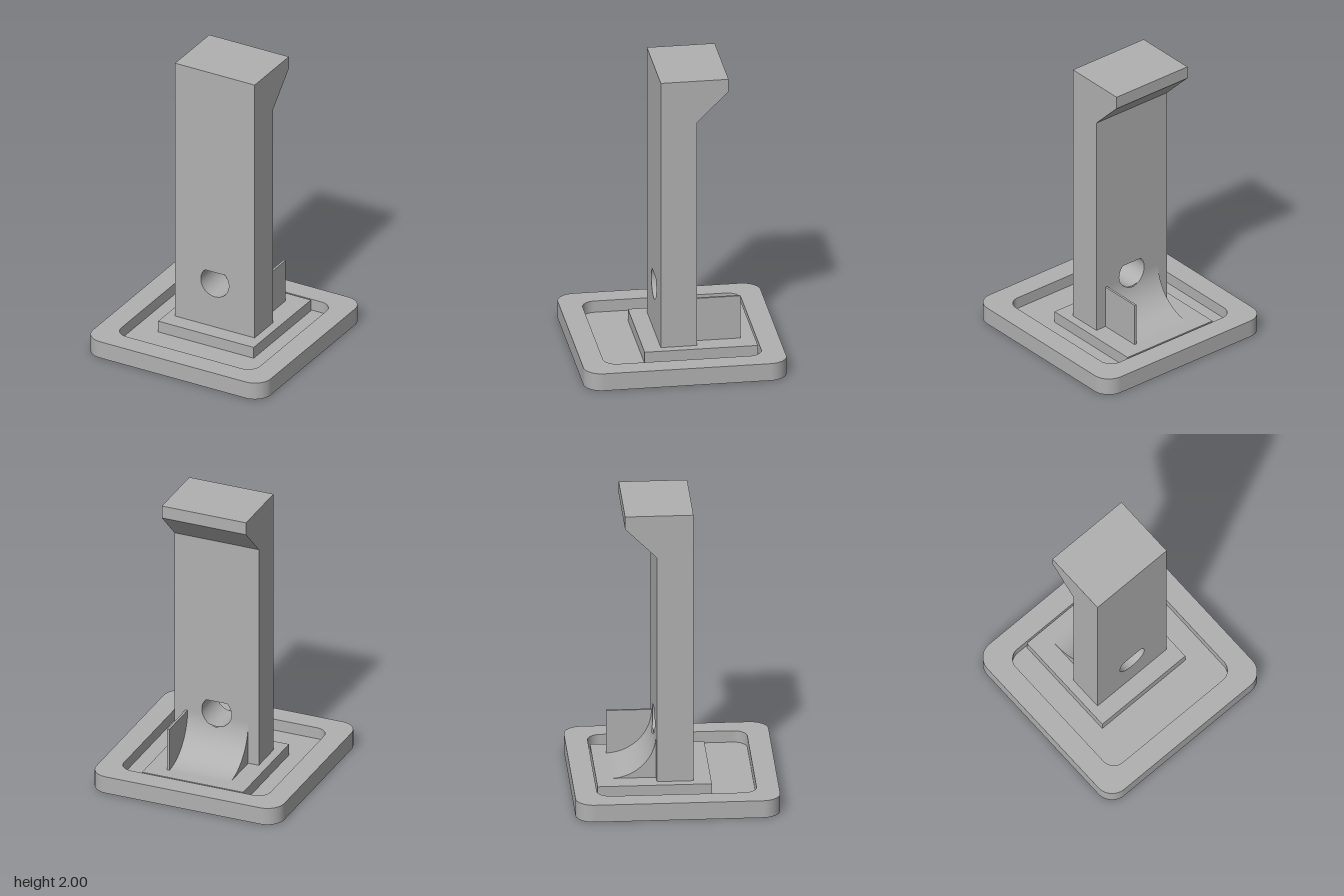
import * as THREE from 'three';
import { toCreasedNormals } from 'three/addons/utils/BufferGeometryUtils.js';

const grey = new THREE.MeshStandardMaterial({ color: 0xb0b0b0, side: THREE.DoubleSide });
grey.name = 'plain grey';

const BASE_TOP = 0.12, POCKET_FLOOR = 0.04;
const COLUMN_BACK = -0.12;
const HOLE = { y: 0.45, r: 0.106 };
const SCOOP = { r: 0.3, y: 0.42, z: -0.42, x0: -0.225, x1: 0.207 };

function part(name, geometry) {
  const mesh = new THREE.Mesh(geometry, grey);
  mesh.name = name;
  return mesh;
}

// box given by its limits on each axis
function block(name, [x0, x1], [y0, y1], [z0, z1]) {
  const g = new THREE.BoxGeometry(x1 - x0, y1 - y0, z1 - z0);
  g.translate((x0 + x1) / 2, (y0 + y1) / 2, (z0 + z1) / 2);
  return part(name, g);
}

function roundedSquare(h, r, PathType = THREE.Shape) {
  const p = new PathType(), c = h - r;
  p.absarc(c, c, r, 0, Math.PI / 2);
  p.absarc(-c, c, r, Math.PI / 2, Math.PI);
  p.absarc(-c, -c, r, Math.PI, Math.PI * 1.5);
  p.absarc(c, -c, r, Math.PI * 1.5, Math.PI * 2);
  p.closePath();
  return p;
}

function extrude(shape, depth) {
  const g = new THREE.ExtrudeGeometry(shape, { depth, bevelEnabled: false, curveSegments: 20 });
  return toCreasedNormals(g, 0.6);
}

// horizontal slab from y0 to y1
function slab(name, shape, y0, y1) {
  return part(name, extrude(shape, y1 - y0).rotateX(-Math.PI / 2).translate(0, y0, 0));
}

// quad strip between two rows of points
function strip(rowA, rowB) {
  const pos = [], index = [];
  rowA.forEach((a, i) => {
    pos.push(...a, ...rowB[i]);
    if (i) {
      const k = 2 * (i - 1);
      index.push(k, k + 1, k + 2, k + 1, k + 3, k + 2);
    }
  });
  const g = new THREE.BufferGeometry();
  g.setAttribute('position', new THREE.Float32BufferAttribute(pos, 3));
  g.setIndex(index);
  g.computeVertexNormals();
  return g;
}

function createBase() {
  const base = new THREE.Group();
  base.name = 'base';
  const rim = roundedSquare(0.67, 0.12);
  rim.holes.push(roundedSquare(0.523, 0.09, THREE.Path));
  base.add(slab('baseFloor', roundedSquare(0.67, 0.12), 0, POCKET_FLOOR));
  base.add(slab('baseRim', rim, POCKET_FLOOR, BASE_TOP));
  base.add(block('plinth', [-0.36, 0.36], [POCKET_FLOOR, BASE_TOP], [-0.512, 0.236]));
  return base;
}

function createColumn() {
  const column = new THREE.Group();
  column.name = 'column';

  // upright with a teardrop opening
  const front = new THREE.Shape();
  front.moveTo(-0.3, BASE_TOP).lineTo(0.3, BASE_TOP).lineTo(0.3, 2).lineTo(-0.3, 2).closePath();
  const tear = new THREE.Path();
  tear.moveTo(0, HOLE.y + HOLE.r * Math.SQRT2);
  tear.absarc(0, HOLE.y, HOLE.r, Math.PI * 0.75, Math.PI * 2.25);
  tear.closePath();
  front.holes.push(tear);
  column.add(part('upright', extrude(front, 0.24).translate(0, 0, COLUMN_BACK)));

  // overhanging hook, profile in z and y
  const side = new THREE.Shape();
  side.moveTo(COLUMN_BACK, 1.705).lineTo(COLUMN_BACK, 2).lineTo(-0.328, 2).lineTo(-0.328, 1.913).closePath();
  column.add(part('hook', extrude(side, 0.6).rotateY(-Math.PI / 2).translate(0.3, 0, 0)));
  return column;
}

function createScoop() {
  const scoop = new THREE.Group();
  scoop.name = 'scoop';

  // quarter-circle ramp, cut away around the opening
  const ramp = [];
  for (let i = 0; i <= 48; i++) {
    const t = (i / 48) * Math.PI / 2;
    const y = SCOOP.y - SCOOP.r * Math.sin(t), z = SCOOP.z + SCOOP.r * Math.cos(t);
    const w = Math.sqrt(Math.max(0, HOLE.r ** 2 - (HOLE.y - y) ** 2));
    ramp.push({ y, z, w });
  }
  const row = (x) => ramp.map((p) => [x(p), p.y, p.z]);
  scoop.add(part('rampRight', strip(row(() => SCOOP.x0), row((p) => -p.w))));
  scoop.add(part('rampLeft', strip(row((p) => p.w), row(() => SCOOP.x1))));

  // thin lip joining the cut edge to the upright
  const cut = ramp.filter((p) => p.w > 0);
  for (const s of [-1, 1]) {
    const lip = strip(cut.map((p) => [s * p.w, p.y, p.z]), cut.map((p) => [s * p.w, p.y, COLUMN_BACK]));
    scoop.add(part('openingLip', lip));
  }

  // open end of the ramp and the cheek plate at the other end
  const end = new THREE.Shape(ramp.map((p) => new THREE.Vector2(p.z, p.y)));
  end.lineTo(COLUMN_BACK, BASE_TOP);
  scoop.add(part('rampEnd', new THREE.ShapeGeometry(end).rotateY(-Math.PI / 2).translate(SCOOP.x0, 0, 0)));
  scoop.add(block('cheekPlate', [SCOOP.x1, 0.222], [BASE_TOP, SCOOP.y], [-0.418, COLUMN_BACK]));
  return scoop;
}

export function createModel() {
  const model = new THREE.Group();
  model.name = 'stand';
  model.add(createBase(), createColumn(), createScoop());
  return model;
}
